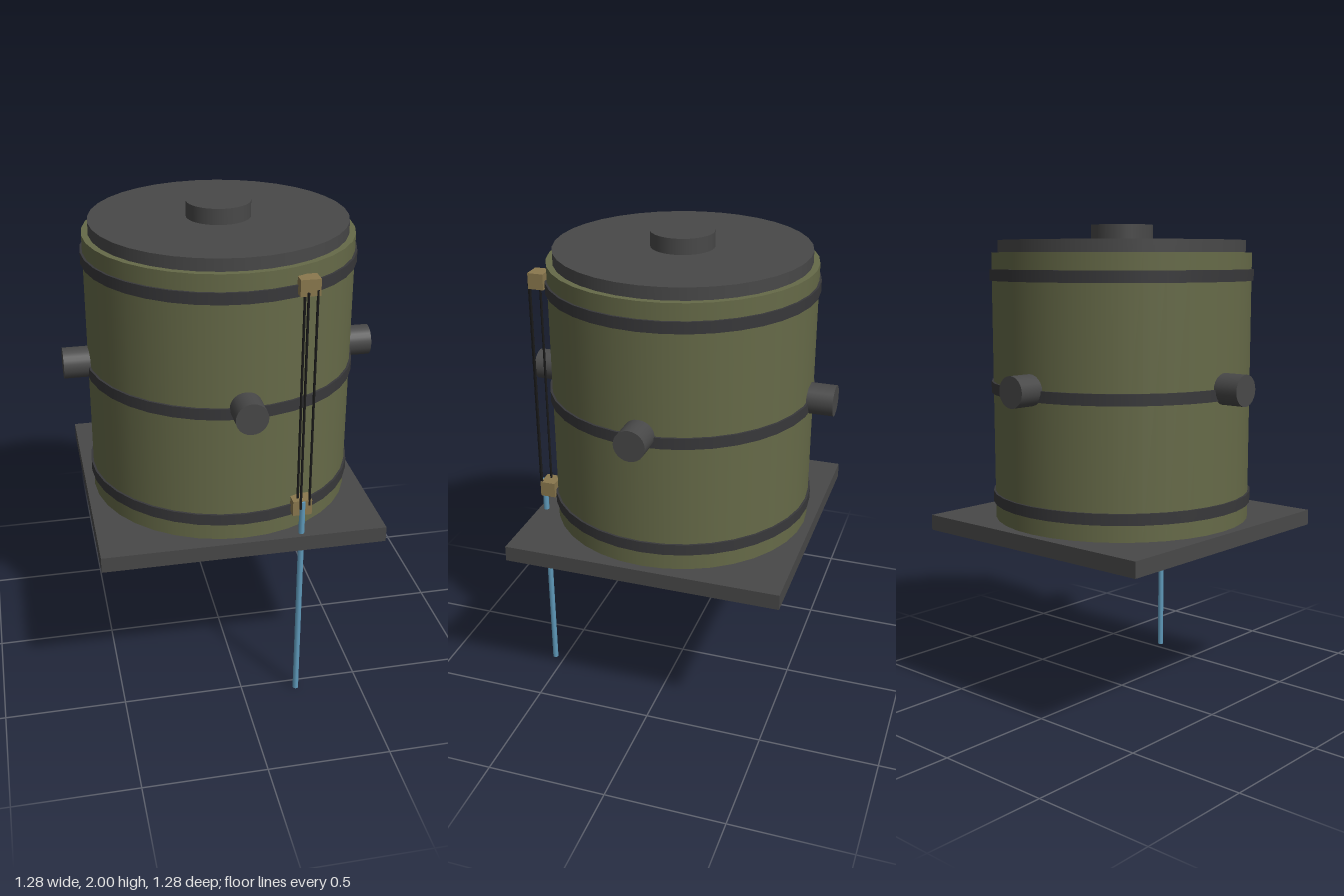
import * as THREE from 'three';

const mat = (name, color) => {
  const m = new THREE.MeshStandardMaterial({ color });
  m.name = name;
  return m;
};

export function createModel() {
  const model = new THREE.Group();
  model.name = 'canister';
  const olive = mat('olive', 0x666a48);
  const steel = mat('dark steel', 0x484848);
  const band = mat('band grey', 0x38383a);
  const brass = mat('brass', 0x8a784e);
  const black = mat('black', 0x1a1a1a);
  const blue = mat('blue', 0x5f9abb);

  const add = (name, geometry, material, x, y, z) => {
    const mesh = new THREE.Mesh(geometry, material);
    mesh.name = name;
    mesh.position.set(x, y, z);
    model.add(mesh);
    return mesh;
  };
  // Upright cylinder given by its bottom and top heights
  const drum = (name, r, y0, y1, material, x = 0, z = 0, sides = 36) =>
    add(name, new THREE.CylinderGeometry(r, r, y1 - y0, sides), material, x, (y0 + y1) / 2, z);

  // Square base, body, lid and cap
  add('basePlate', new THREE.BoxGeometry(1.15, 0.065, 1.15), steel, 0, 0.753, 0);
  drum('body', 0.538, 0.785, 1.888, olive);
  drum('lid', 0.512, 1.888, 1.937, steel);
  drum('cap', 0.128, 1.937, 2, steel);

  // Hoops around the body
  for (const y of [0.877, 1.339, 1.798]) drum('hoop', 0.547, y - 0.023, y + 0.023, band);

  // Four side ports
  for (let i = 0; i < 4; i++) {
    const a = (i * Math.PI) / 2;
    const port = add('sidePort', new THREE.CylinderGeometry(0.063, 0.063, 0.14, 24), steel,
      Math.sin(a) * 0.57, 1.361, Math.cos(a) * 0.57);
    port.rotation.set(Math.PI / 2, 0, a, 'ZYX');
    port.quaternion.setFromUnitVectors(new THREE.Vector3(0, 1, 0),
      new THREE.Vector3(Math.sin(a), 0, Math.cos(a)));
  }

  // Gauge: two brackets, three guard rods and the long blue tube
  const gx = 0.229, gz = 0.545;
  for (const y of [0.901, 1.82]) {
    add('gaugeBracket', new THREE.BoxGeometry(0.077, 0.064, 0.064), brass, gx, y, 0.516);
  }
  for (let i = 0; i < 3; i++) {
    const a = (i * Math.PI * 2) / 3;
    drum('guardRod', 0.005, 0.91, 1.81, black, gx + Math.cos(a) * 0.028, gz + Math.sin(a) * 0.028, 8);
  }
  drum('gaugeTube', 0.0125, 0, 0.93, blue, gx, gz, 8);

  return model;
}
